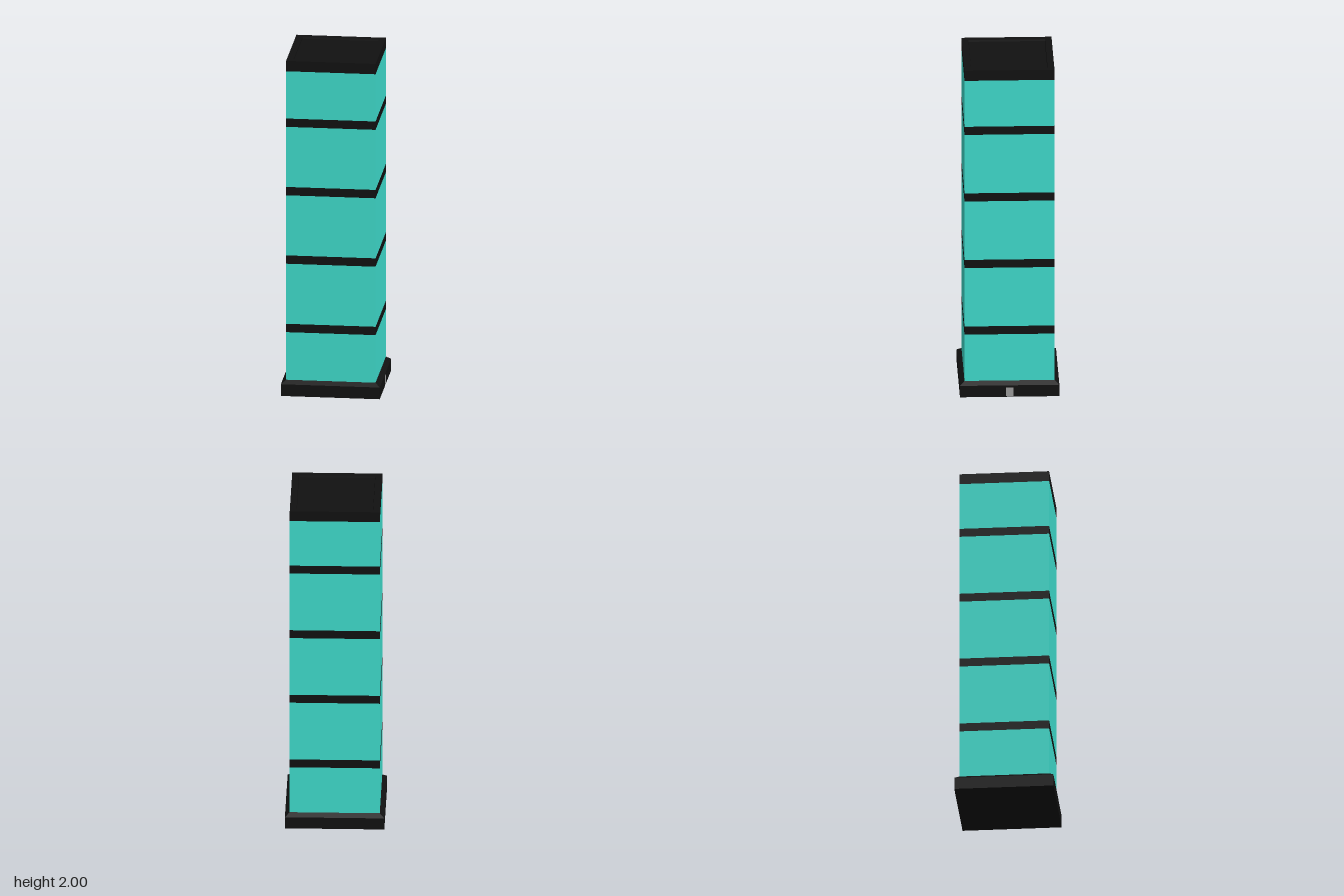
import * as THREE from 'three';

const black = new THREE.MeshStandardMaterial({ color: 0x111111, flatShading: true });
const teal = new THREE.MeshStandardMaterial({ color: 0x40e0d0, flatShading: true });
const grey = new THREE.MeshStandardMaterial({ color: 0xa0a0a0 });

const HALF = 0.258; // half width of the tower
const BASE = 0.285; // half width of the base

export function createModel() {
  const group = new THREE.Group();

  const add = (name, geometry, material) => {
    const mesh = new THREE.Mesh(geometry, material);
    mesh.name = name;
    group.add(mesh);
    return mesh;
  };

  // Square block between two heights
  const block = (name, y0, y1, material) => {
    const mesh = add(name, new THREE.BoxGeometry(HALF * 2, y1 - y0, HALF * 2), material);
    mesh.position.y = (y0 + y1) / 2;
  };

  // Square solid from a profile of [half width, height], listed bottom to top
  const squareLathe = (name, profile, material) => {
    const points = profile.map(([h, y]) => new THREE.Vector2(h * Math.SQRT2, y));
    const geometry = new THREE.LatheGeometry(points, 4);
    geometry.rotateY(Math.PI / 4);
    add(name, geometry, material);
  };

  // Base plinth with a chamfered upper edge
  squareLathe('base', [[0, 0], [BASE, 0], [BASE, 0.07], [HALF, 0.09], [0, 0.09]], black);

  // Lamp panels separated by dark bands
  const bandStarts = [0.375, 0.785, 1.195, 1.605];
  let y = 0.09;
  bandStarts.forEach((start, i) => {
    block(`panel${i + 1}`, y, start, teal);
    block(`band${i + 1}`, start, start + 0.05, black);
    y = start + 0.05;
  });
  block('panel5', y, 1.938, teal);

  // Top cap with a shallow recess
  squareLathe('topCap', [[0, 1.938], [HALF, 1.938], [HALF, 2], [0.22, 2], [0.218, 1.99], [0, 1.99]], black);

  // Small socket on the left side of the base
  const socket = add('socket', new THREE.BoxGeometry(0.02, 0.052, 0.042), grey);
  socket.position.set(BASE - 0.009, 0.031, 0);

  return group;
}
